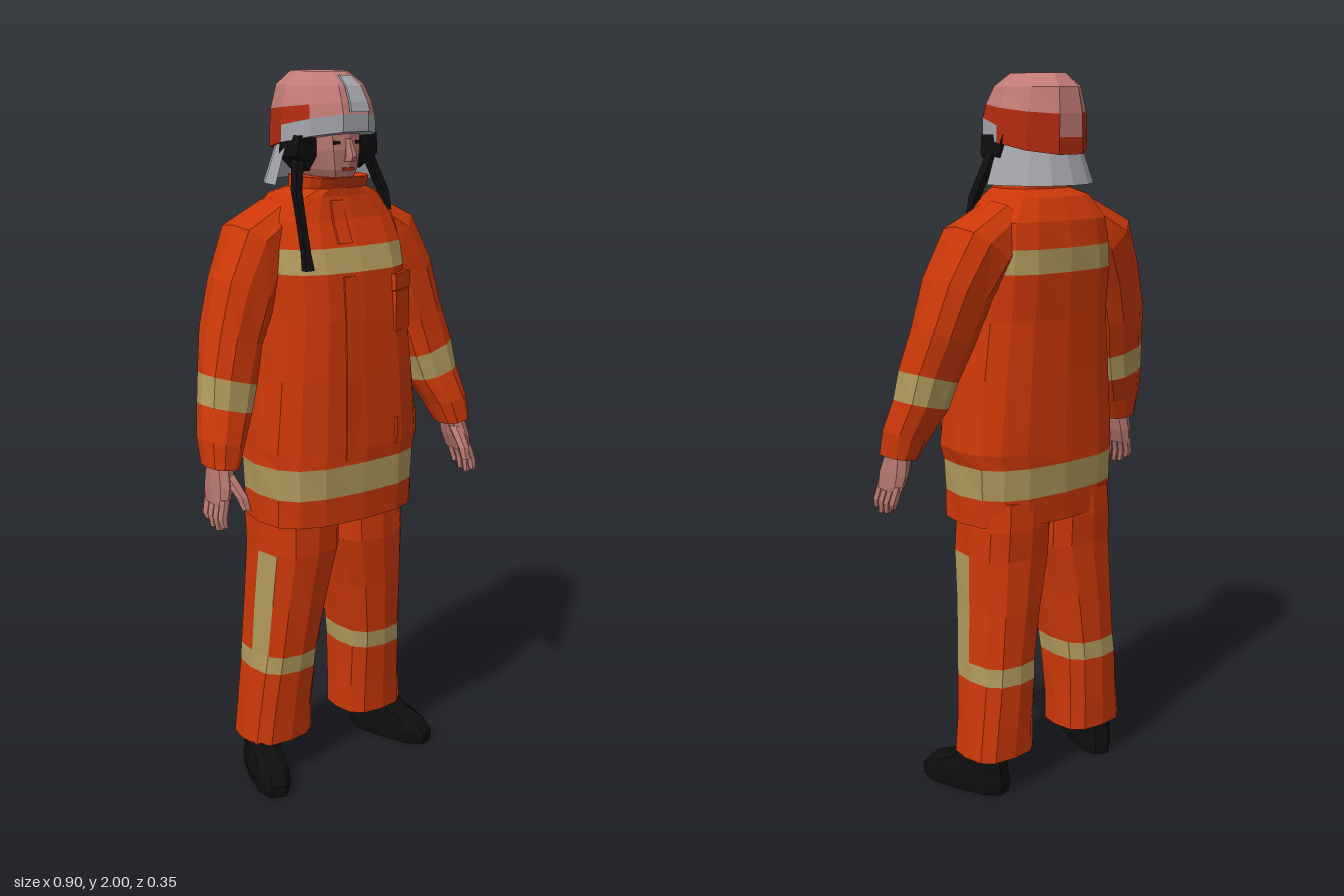
import * as THREE from 'three';

const mat = (name, color) => Object.assign(new THREE.MeshStandardMaterial({ color }), { name });
const orange = mat('orange cloth', 0xcc3808);
const tan = mat('reflective tan', 0xb0985c);
const pink = mat('helmet shell', 0xc07a75);
const skin = mat('skin', 0xb4756e);
const grey = mat('grey trim', 0xa2a4aa);
grey.side = THREE.DoubleSide;
const red = mat('helmet red', 0xb02a10);
const black = mat('black', 0x0e0e0e);

// Faceted loft through rings listed bottom to top: [x, y, z, rx, rz, tilt, slope].
// e squares the outline, pick(row, sine, cosine of angle) chooses a material per face.
function loft(name, rings, mats, { n = 12, e = 0.8, pick = () => 0, wrinkle = 0 } = {}) {
  const list = [].concat(mats);
  const faces = list.map(() => []);
  const pow = v => (Math.abs(v) < 1e-9 ? 0 : Math.sign(v) * Math.abs(v) ** e);
  const angle = j => ((j + (n === 4 ? 0.5 : 0)) / n) * Math.PI * 2;
  const pts = rings.map(([x, y, z, rx, rz, tilt = 0, slope = 0], i) =>
    Array.from({ length: n }, (_, j) => {
      const k = 1 + wrinkle * Math.sin(i * 2.3 + j * 1.9);
      const dx = pow(Math.cos(angle(j))) * rx * k, dz = pow(Math.sin(angle(j))) * rz * k;
      return [x + dx * Math.cos(tilt), y + dx * Math.sin(tilt) + dz * slope, z + dz];
    }));
  const last = rings.length - 1;
  for (let j = 0; j < n; j++) {
    const k = (j + 1) % n, s = Math.sin(angle(j + 0.5)), co = Math.cos(angle(j + 0.5));
    for (let i = 0; i < last; i++) {
      const a = pts[i][j], b = pts[i + 1][j], c = pts[i + 1][k], d = pts[i][k];
      faces[pick(i, s, co)].push(...a, ...b, ...c, ...a, ...c, ...d);
    }
    faces[pick(0, s, co)].push(...rings[0].slice(0, 3), ...pts[0][j], ...pts[0][k]);
    faces[pick(last - 1, s, co)].push(...rings[last].slice(0, 3), ...pts[last][k], ...pts[last][j]);
  }
  const geo = new THREE.BufferGeometry();
  let start = 0;
  faces.forEach((f, m) => {
    geo.addGroup(start, f.length / 3, m);
    start += f.length / 3;
  });
  geo.setAttribute('position', new THREE.Float32BufferAttribute(faces.flat(), 3));
  geo.computeVertexNormals();
  const mesh = new THREE.Mesh(geo, list.length > 1 ? list : list[0]);
  mesh.name = name;
  return mesh;
}

// Flat or square strip through rings
const strip = (name, rings, m) => loft(name, rings, m, { n: 4, e: 0 });

function box(name, size, pos, m, ry = 0) {
  const mesh = new THREE.Mesh(new THREE.BoxGeometry(...size), m);
  mesh.position.set(...pos);
  mesh.rotation.y = ry;
  mesh.name = name;
  return mesh;
}

function jacket() {
  const g = new THREE.Group();
  g.name = 'jacket';
  g.add(loft('coat', [
    [0, 0.79, 0.005, 0.245, 0.158], [0, 0.87, 0.005, 0.247, 0.163], [0, 0.957, 0.003, 0.25, 0.167],
    [0.007, 1.0, 0.003, 0.255, 0.168], [0.003, 1.2, 0.003, 0.235, 0.168], [0, 1.36, 0, 0.217, 0.166],
    [0, 1.485, -0.01, 0.215, 0.166], [0, 1.55, -0.02, 0.213, 0.155], [0, 1.62, -0.03, 0.2, 0.134],
    [-0.005, 1.68, -0.02, 0.15, 0.11], [-0.005, 1.7, 0, 0.1, 0.09], [-0.007, 1.73, 0.01, 0.098, 0.1],
  ], [orange, tan], { n: 16, e: 0.7, wrinkle: 0.008, pick: i => (i === 1 || i === 6 ? 1 : 0) }));
  // Front closure, interrupted by the reflective bands
  g.add(strip('lowerPlacket', [
    [-0.04, 0.97, 0.163, 0.022, 0.006], [-0.04, 1.2, 0.165, 0.022, 0.006],
    [-0.04, 1.36, 0.16, 0.022, 0.006], [-0.04, 1.475, 0.151, 0.022, 0.006]], orange));
  g.add(strip('upperPlacket', [
    [-0.04, 1.56, 0.128, 0.022, 0.006], [-0.04, 1.62, 0.101, 0.022, 0.006],
    [-0.04, 1.67, 0.088, 0.02, 0.006]], orange));
  // Pockets
  g.add(box('chestPocket', [0.08, 0.11, 0.026], [0.14, 1.365, 0.135], orange, 0.43));
  g.add(box('chestPocketFlap', [0.086, 0.045, 0.034], [0.14, 1.445, 0.129], orange, 0.43));
  g.add(box('hipFlap', [0.12, 0.075, 0.014], [0.165, 1.03, 0.138], orange, 0.42));
  return g;
}

function arm(s) {
  const g = new THREE.Group();
  g.name = s > 0 ? 'leftArm' : 'rightArm';
  const side = rings => rings.map(([x, y, z, rx, rz, t = 0]) => [x * s, y, z, rx, rz, t * s]);
  g.add(loft('sleeve', side([
    [0.405, 0.995, 0.065, 0.045, 0.055, 0.15], [0.39, 1.06, 0.05, 0.06, 0.062, 0.2],
    [0.36, 1.14, 0.022, 0.073, 0.066, 0.25], [0.342, 1.215, 0.01, 0.08, 0.069, 0.28],
    [0.312, 1.32, -0.012, 0.083, 0.08, 0.35], [0.27, 1.44, -0.025, 0.09, 0.09, 0.45],
    [0.213, 1.55, -0.04, 0.095, 0.1, 0.7], [0.12, 1.615, -0.04, 0.07, 0.085, 0.95],
  ]), [orange, tan], { n: 10, wrinkle: 0.02, pick: i => (i === 2 ? 1 : 0) }));
  // Hand
  g.add(loft('palm', side([
    [0.425, 0.905, 0.08, 0.02, 0.05], [0.415, 0.95, 0.075, 0.027, 0.052],
    [0.405, 1.01, 0.065, 0.03, 0.038]]), skin, { n: 8 }));
  for (let f = 0; f < 4; f++) {
    const z = 0.042 + f * 0.025, drop = [0.02, 0.004, 0, 0.012][f];
    g.add(loft('finger', side([
      [0.436, 0.836 + drop, z + 0.014, 0.01, 0.01], [0.438, 0.872, z + 0.008, 0.014, 0.013],
      [0.425, 0.92, z, 0.015, 0.014]]), skin, { n: 6, e: 1 }));
  }
  g.add(loft('thumb', side([
    [0.384, 0.895, 0.158, 0.013, 0.012], [0.388, 0.928, 0.143, 0.017, 0.017],
    [0.4, 0.98, 0.09, 0.021, 0.022]]), skin, { n: 6, e: 1 }));
  return g;
}

function leg(s) {
  const g = new THREE.Group();
  g.name = s > 0 ? 'leftLeg' : 'rightLeg';
  // The shin band and the outer seam stripe are faces of the trouser leg
  g.add(loft('trouserLeg', [
    [0.17, 0.11, -0.045, 0.107, 0.095], [0.165, 0.2, -0.043, 0.102, 0.1], [0.156, 0.335, -0.037, 0.097, 0.111],
    [0.152, 0.388, -0.033, 0.097, 0.113], [0.136, 0.54, -0.025, 0.105, 0.122], [0.116, 0.695, -0.016, 0.118, 0.13],
    [0.114, 0.78, -0.02, 0.118, 0.132], [0.11, 0.86, -0.02, 0.115, 0.128],
  ].map(r => [r[0] * s, ...r.slice(1)]), [orange, tan], {
    wrinkle: 0.012, e: 0.75,
    pick: (i, sn, co) => (i === 2 || ((i === 3 || i === 4) && co * s > 0.9 && sn > 0) ? 1 : 0),
  }));
  // Boot, turned outward
  const boot = loft('boot', [
    [0, 0, 0, 0.05, 0.138], [0, 0.035, 0, 0.053, 0.141], [0, 0.065, -0.01, 0.05, 0.125],
    [0, 0.095, -0.045, 0.048, 0.085], [0, 0.14, -0.06, 0.045, 0.06]], black, { n: 10, e: 0.75 });
  boot.position.set(0.232 * s, 0, 0.01);
  boot.rotation.y = 0.33 * s;
  g.add(boot);
  return g;
}

function head() {
  const g = new THREE.Group();
  g.name = 'head';
  const x = -0.017;
  g.add(loft('face', [
    [x, 1.66, -0.005, 0.05, 0.055], [x, 1.72, 0.025, 0.046, 0.075], [x, 1.75, 0.02, 0.063, 0.092],
    [x, 1.8, 0.01, 0.075, 0.106], [x, 1.87, 0, 0.078, 0.11]], skin));
  g.add(loft('nose', [
    [x, 1.772, 0.115, 0.015, 0.022], [x, 1.785, 0.119, 0.014, 0.024], [x, 1.83, 0.112, 0.008, 0.01],
  ], skin, { n: 6, e: 1 }));
  g.add(box('mouth', [0.036, 0.007, 0.008], [x, 1.752, 0.111], red));
  for (const s of [-1, 1]) {
    g.add(box('eye', [0.02, 0.009, 0.008], [x + 0.034 * s, 1.82, 0.104], black, 0.25 * s));
    g.add(strip('sidePad', [
      [x + 0.085 * s, 1.745, 0.015, 0.012, 0.022], [x + 0.102 * s, 1.785, 0.025, 0.032, 0.04],
      [x + 0.1 * s, 1.84, 0.025, 0.026, 0.045]], black));
  }
  // Loose hanging straps
  g.add(strip('leftStrap', [
    [0.153, 1.63, 0.06, 0.01, 0.012], [0.153, 1.68, 0.045, 0.01, 0.014],
    [0.13, 1.74, 0.032, 0.011, 0.014], [0.1, 1.8, 0.03, 0.011, 0.014]], black));
  g.add(strip('rightStrap', [
    [-0.166, 1.5, 0.136, 0.014, 0.01], [-0.162, 1.54, 0.122, 0.01, 0.009], [-0.154, 1.62, 0.09, 0.009, 0.01],
    [-0.148, 1.7, 0.06, 0.01, 0.012], [-0.128, 1.8, 0.04, 0.011, 0.014]], black));
  return g;
}

function helmet() {
  const g = new THREE.Group();
  g.name = 'helmet';
  const x = -0.02;
  g.add(loft('helmetShell', [
    [x, 1.82, 0, 0.135, 0.155, 0, 0.2], [x, 1.865, 0, 0.133, 0.155, 0, 0.2],
    [x, 1.91, -0.005, 0.127, 0.15, 0, 0.1], [x, 1.965, -0.01, 0.108, 0.133], [x, 2, -0.015, 0.066, 0.092],
  ], [pink, grey, red], {
    n: 10, e: 1,
    pick: (i, s) => (i === 0 ? (s > -0.1 ? 1 : 2) : i === 1 && s < 0.5 && s > -0.9 ? 2 : 0),
  }));
  g.add(strip('frontPlate', [
    [x + 0.005, 1.9, 0.157, 0.03, 0.004], [x + 0.005, 1.925, 0.149, 0.028, 0.004],
    [x + 0.005, 1.965, 0.125, 0.024, 0.004], [x + 0.005, 1.99, 0.09, 0.018, 0.004]], grey));
  // Neck guard hanging around the back
  const guard = new THREE.CylinderGeometry(0.122, 0.16, 0.115, 8, 1, true, Math.PI * 0.48, Math.PI * 1.04).toNonIndexed();
  guard.computeVertexNormals();
  const flap = new THREE.Mesh(guard, grey);
  flap.name = 'neckGuard';
  flap.position.set(x, 1.768, 0);
  g.add(flap);
  return g;
}

export function createModel() {
  const model = new THREE.Group();
  model.name = 'firefighter';
  model.add(jacket(), head(), helmet());
  for (const s of [1, -1]) model.add(arm(s), leg(s));
  return model;
}
